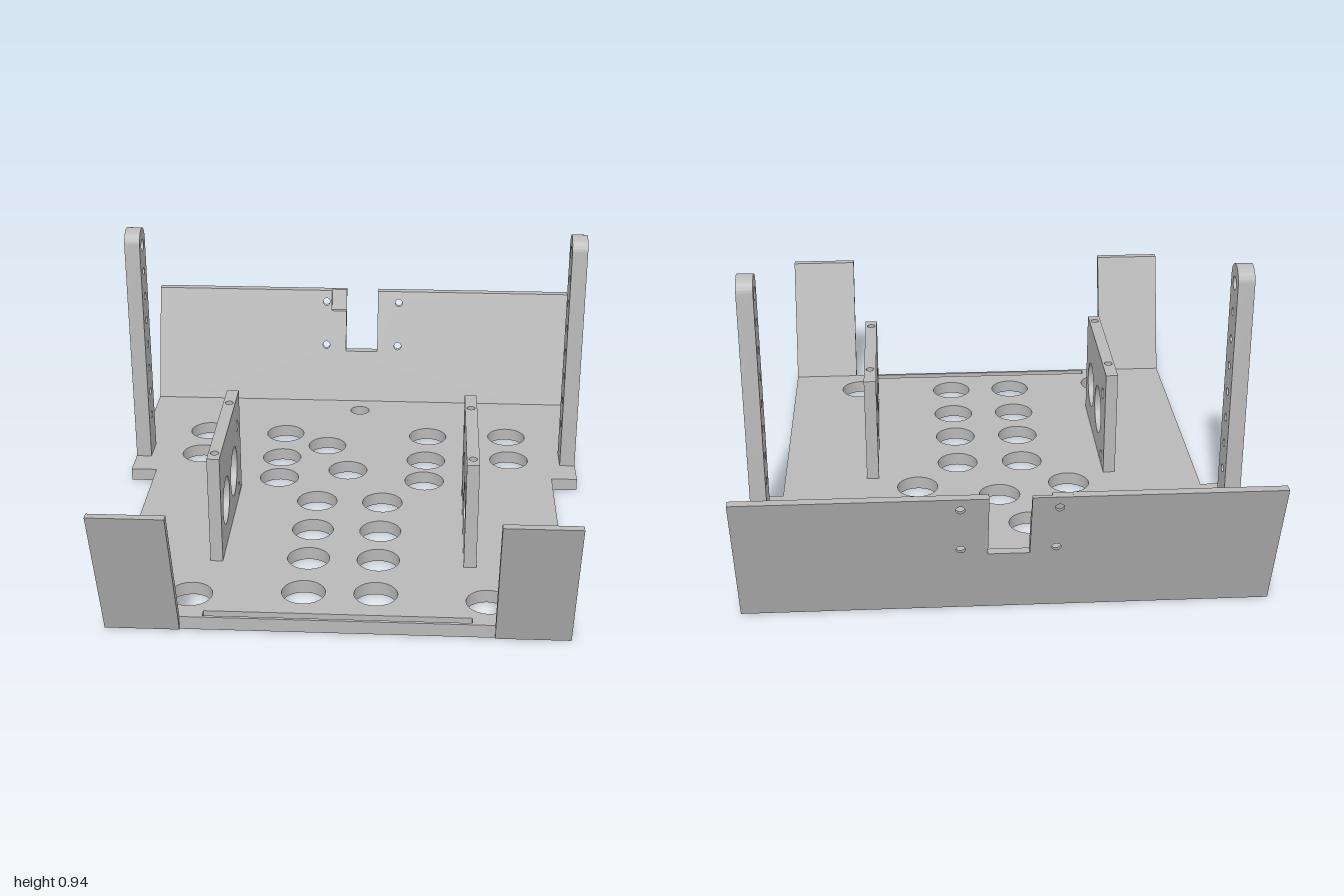
import * as THREE from 'three';
import { toCreasedNormals } from 'three/addons/utils/BufferGeometryUtils.js';

const steel = new THREE.MeshStandardMaterial({ color: 0xb8b8b8 });
steel.name = 'grey metal';

// Closed outline with round holes given as [x, y, radius]
function plateShape(points, holes = []) {
  const shape = new THREE.Shape(points.map(([x, y]) => new THREE.Vector2(x, y)));
  return drill(shape, holes);
}

function drill(shape, holes) {
  for (const [x, y, r] of holes) {
    shape.holes.push(new THREE.Path().absarc(x, y, r, 0, Math.PI * 2, true));
  }
  return shape;
}

const rect = (x0, y0, x1, y1) => [[x0, y0], [x1, y0], [x1, y1], [x0, y1]];

function extrude(shape, depth) {
  return new THREE.ExtrudeGeometry(shape, { depth, bevelEnabled: false, curveSegments: 20 });
}

function part(name, geometry) {
  const mesh = new THREE.Mesh(toCreasedNormals(geometry, 0.6), steel);
  mesh.name = name;
  return mesh;
}

// Lean an upright sheet by sliding z in proportion to height
function lean(geometry, slope, z) {
  const p = geometry.attributes.position;
  for (let i = 0; i < p.count; i++) p.setZ(i, p.getZ(i) + z + slope * p.getY(i));
  return geometry;
}

// Sheet drawn as (z, y), thickness running along +x from x0
function sideSheet(shape, thickness, x0) {
  return extrude(shape, thickness).rotateY(-Math.PI / 2).translate(x0 + thickness, 0, 0);
}

// Sheet drawn as (x, -z), thickness running up from y0
function flatSheet(shape, thickness, y0) {
  return extrude(shape, thickness).rotateX(-Math.PI / 2).translate(0, y0, 0);
}

export function createModel() {
  const model = new THREE.Group();
  model.name = 'chassis';
  const T = 0.045;

  // Floor with lightening holes and front slot
  const R = 0.071;
  const holes = [
    [-0.58, -0.515], [-0.585, -0.315], [-0.28, -0.505], [-0.275, -0.297], [-0.27, -0.13],
    [-0.11, -0.405], [-0.02, -0.202], [0.275, -0.505], [0.27, -0.297], [0.265, -0.13],
    [0.58, -0.515], [0.582, -0.315], [-0.48, 0.698], [0.478, 0.698],
  ];
  for (const z of [0.045, 0.255, 0.452, 0.668]) holes.push([-0.117, z], [0.117, z]);
  const floor = plateShape([
    [-0.735, -0.835], [0.735, -0.835], [0.735, 0.17], [0.828, 0.17],
    [0.828, 0.83], [-0.828, 0.83], [-0.828, 0.17], [-0.735, 0.17],
  ], [...holes.map(([x, z]) => [x, -z, R]), [0, 0.733, 0.037]]);
  floor.holes.push(new THREE.Path(rect(-0.425, -0.825, 0.425, -0.797).map(([x, y]) => new THREE.Vector2(x, y))));
  model.add(part('floor', flatSheet(floor, T, 0)));

  // Leaning rear wall: two layers, the inner one cut back beside the notch
  const screwHoles = [[-0.147, 0.427, 0.014], [0.147, 0.427, 0.014], [-0.145, 0.26, 0.014], [0.145, 0.26, 0.014]];
  const H = 0.47;
  const wallEnd = [[0.062, 0.237], [0.062, H], [0.828, H], [0.828, 0], [-0.828, 0], [-0.828, H]];
  const outerWall = plateShape([...wallEnd, [-0.065, H], [-0.065, 0.237]], screwHoles);
  const innerWall = plateShape(
    [...wallEnd, [-0.125, H], [-0.125, 0.392], [-0.065, 0.392], [-0.065, 0.237]],
    screwHoles.slice(1),
  );
  // The recess clips the edge of the remaining screw hole only slightly
  innerWall.holes.push(new THREE.Path().absarc(-0.147, 0.427, 0.014, 0, Math.PI * 2, true));
  const wall = new THREE.Group();
  wall.name = 'rearWall';
  wall.add(part('rearWallOuter', lean(extrude(outerWall, 0.015), -0.34, -0.84)));
  wall.add(part('rearWallInner', lean(extrude(innerWall, 0.015), -0.34, -0.825)));
  model.add(wall);

  for (const side of [-1, 1]) {
    const label = side > 0 ? 'left' : 'right';

    // Leaning front flap
    const x0 = side > 0 ? 0.497 : -0.735;
    const flap = plateShape(rect(x0, 0, x0 + 0.238, 0.482));
    model.add(part(label + 'FrontFlap', lean(extrude(flap, 0.026), 0.332, 0.814)));

    // Upright post with a rounded top and a row of holes
    const zc = -0.334, r = 0.054;
    const post = new THREE.Shape();
    post.moveTo(zc - r, T);
    post.lineTo(zc + r, T);
    post.absarc(zc, 0.935 - r, r, 0, Math.PI, false);
    post.closePath();
    drill(post, [[zc, 0.87, 0.023]]);
    for (let i = 0; i < 7; i++) drill(post, [[zc, 0.195 + i * 0.0958, 0.014]]);
    model.add(part(label + 'Post', sideSheet(post, 0.055, side > 0 ? 0.772 : -0.827)));

    // Motor plate: drilled lower part, and top strip with vertical screw holes
    const mx = side > 0 ? 0.402 : -0.444;
    const mount = new THREE.Group();
    mount.name = label + 'MotorPlate';
    const lower = plateShape(rect(-0.06, T, 0.486, 0.365), [
      [0.348, 0.202, 0.082], [0.134, 0.202, 0.087], [0.015, 0.322, 0.021], [0.015, 0.073, 0.021],
    ]);
    const strip = plateShape(rect(mx, -0.486, mx + 0.042, 0.06),
      [[mx + 0.021, -0.045, 0.014], [mx + 0.021, -0.44, 0.014]]);
    mount.add(part('plateBody', sideSheet(lower, 0.042, mx)));
    mount.add(part('plateTop', flatSheet(strip, 0.06, 0.365)));
    model.add(mount);
  }
  return model;
}
